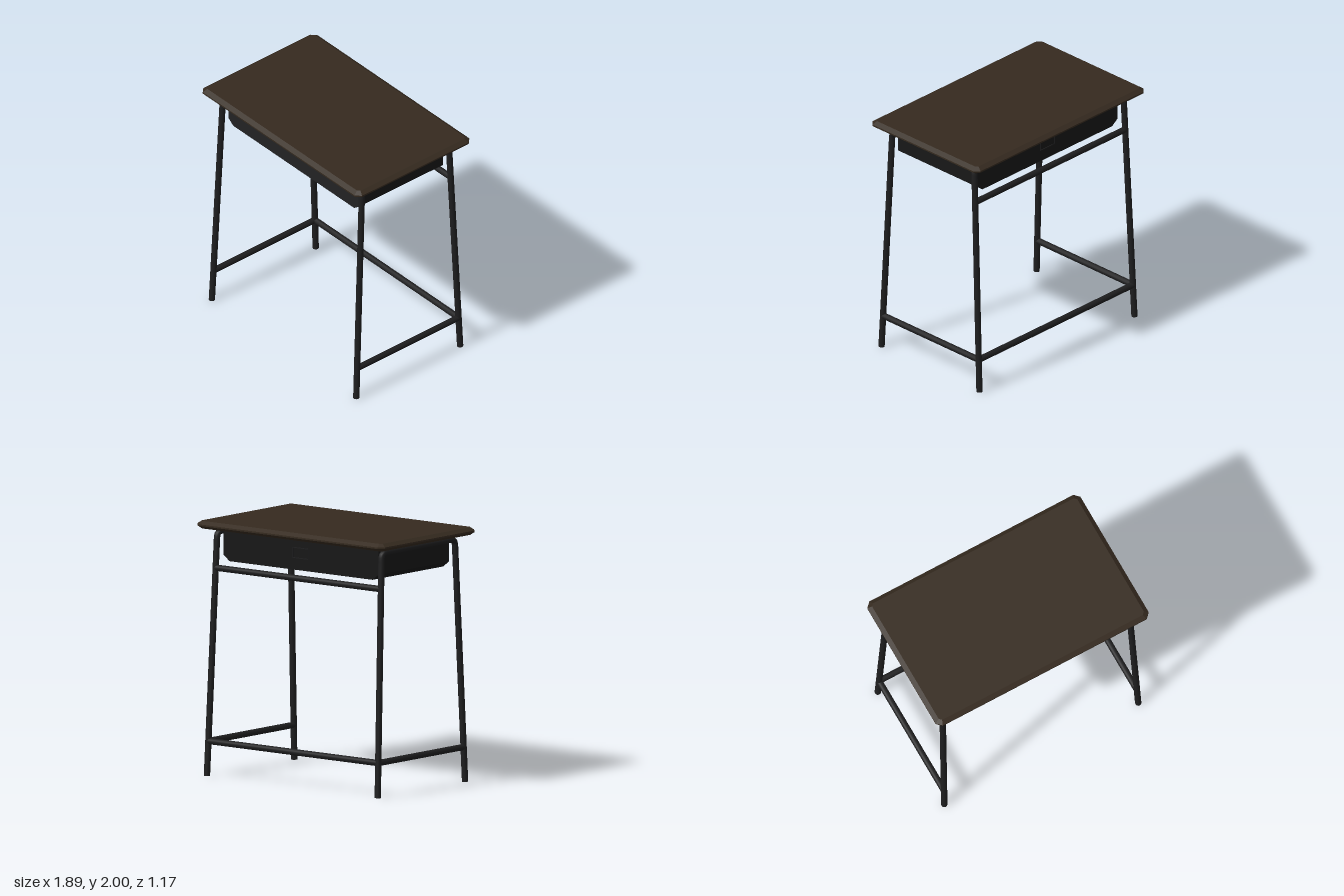
import * as THREE from 'three';

const mat = (name, color) => {
  const m = new THREE.MeshStandardMaterial({ color });
  m.name = name;
  return m;
};

// Rectangle outline with cut corners
function cutRect(hx, hy, c) {
  return new THREE.Shape([
    [-hx + c, -hy], [hx - c, -hy], [hx, -hy + c], [hx, hy - c],
    [hx - c, hy], [-hx + c, hy], [-hx, hy - c], [-hx, -hy + c],
  ].map(([x, y]) => new THREE.Vector2(x, y)));
}

export function createModel() {
  const wood = mat('dark wood', 0x352a1f);
  const steel = mat('dark steel', 0x1e1e1f);
  const sheet = mat('black sheet metal', 0x171717);
  const face = mat('drawer face grey', 0x222223);

  const desk = new THREE.Group();
  desk.name = 'desk';
  const add = (name, geo, material, parent = desk) => {
    const mesh = new THREE.Mesh(geo, material);
    mesh.name = name;
    parent.add(mesh);
    return mesh;
  };

  // Tabletop with cut corners and a pointed, bevelled edge
  const top = new THREE.ExtrudeGeometry(cutRect(0.91, 0.55, 0.02), {
    depth: 0.012, bevelEnabled: true, bevelSegments: 1, bevelThickness: 0.024, bevelSize: 0.035,
  });
  top.rotateX(-Math.PI / 2).translate(0, 1.964, 0);
  add('tabletop', top, wood);

  // Plate under the tabletop
  add('mountingPlate', new THREE.BoxGeometry(1.62, 0.012, 0.92).translate(0, 1.936, 0), sheet);

  // Storage box with cut lower corners
  const profile = new THREE.Shape([
    [-0.78, 1.935], [-0.78, 1.73], [-0.72, 1.685], [0.72, 1.685], [0.78, 1.73], [0.78, 1.935],
  ].map(([x, y]) => new THREE.Vector2(x, y)));
  add('storageBox', new THREE.ExtrudeGeometry(profile, { depth: 0.85, bevelEnabled: false })
    .translate(0, 0, -0.425), sheet);
  add('frontPanel', new THREE.ExtrudeGeometry(profile, { depth: 0.006, bevelEnabled: false })
    .translate(0, 0, 0.425), face);

  // Label holder: a thin outline on the back
  const label = new THREE.Group();
  label.name = 'labelHolder';
  label.position.set(0, 1.82, -0.426);
  desk.add(label);
  for (const s of [-1, 1]) {
    add('labelEdge', new THREE.BoxGeometry(0.16, 0.006, 0.008).translate(0, s * 0.04, 0), steel, label);
    add('labelSide', new THREE.BoxGeometry(0.006, 0.08, 0.008).translate(s * 0.077, 0, 0), steel, label);
  }

  // Leg centre lines lean inwards with height
  const R = 0.025;
  const legPoint = (sx, y, sz) =>
    new THREE.Vector3(sx * (0.86 - 0.017 * y), y, sz * (0.53 - 0.045 * y));

  // Side frames: one bent tube makes two legs and the bar between them
  for (const sx of [-1, 1]) {
    const path = new THREE.CurvePath();
    const arch = (sz) => ({
      foot: legPoint(sx, 0, sz), bend: legPoint(sx, 1.86, sz),
      corner: legPoint(sx, 1.91, sz),
      inner: legPoint(sx, 1.91, sz).add(new THREE.Vector3(0, 0, -sz * 0.045)),
    });
    const a = arch(1), b = arch(-1);
    path.add(new THREE.LineCurve3(a.foot, a.bend));
    path.add(new THREE.QuadraticBezierCurve3(a.bend, a.corner, a.inner));
    path.add(new THREE.LineCurve3(a.inner, b.inner));
    path.add(new THREE.QuadraticBezierCurve3(b.inner, b.corner, b.bend));
    path.add(new THREE.LineCurve3(b.bend, b.foot));
    add('sideFrame', new THREE.TubeGeometry(path, 200, R, 12), steel);
    for (const sz of [-1, 1]) {
      const cap = add('footCap', new THREE.CircleGeometry(R, 12).rotateX(Math.PI / 2), steel);
      cap.position.copy(legPoint(sx, 0.002, sz));
    }
  }

  // Straight rails between legs
  const rail = (name, from, to) =>
    add(name, new THREE.TubeGeometry(new THREE.LineCurve3(from, to), 1, R, 12), steel);
  rail('upperBackRail', legPoint(-1, 1.627, -1), legPoint(1, 1.627, -1));
  rail('lowerBackRail', legPoint(-1, 0.272, -1), legPoint(1, 0.272, -1));
  for (const sx of [-1, 1]) rail('lowerSideRail', legPoint(sx, 0.272, 1), legPoint(sx, 0.272, -1));

  return desk;
}
